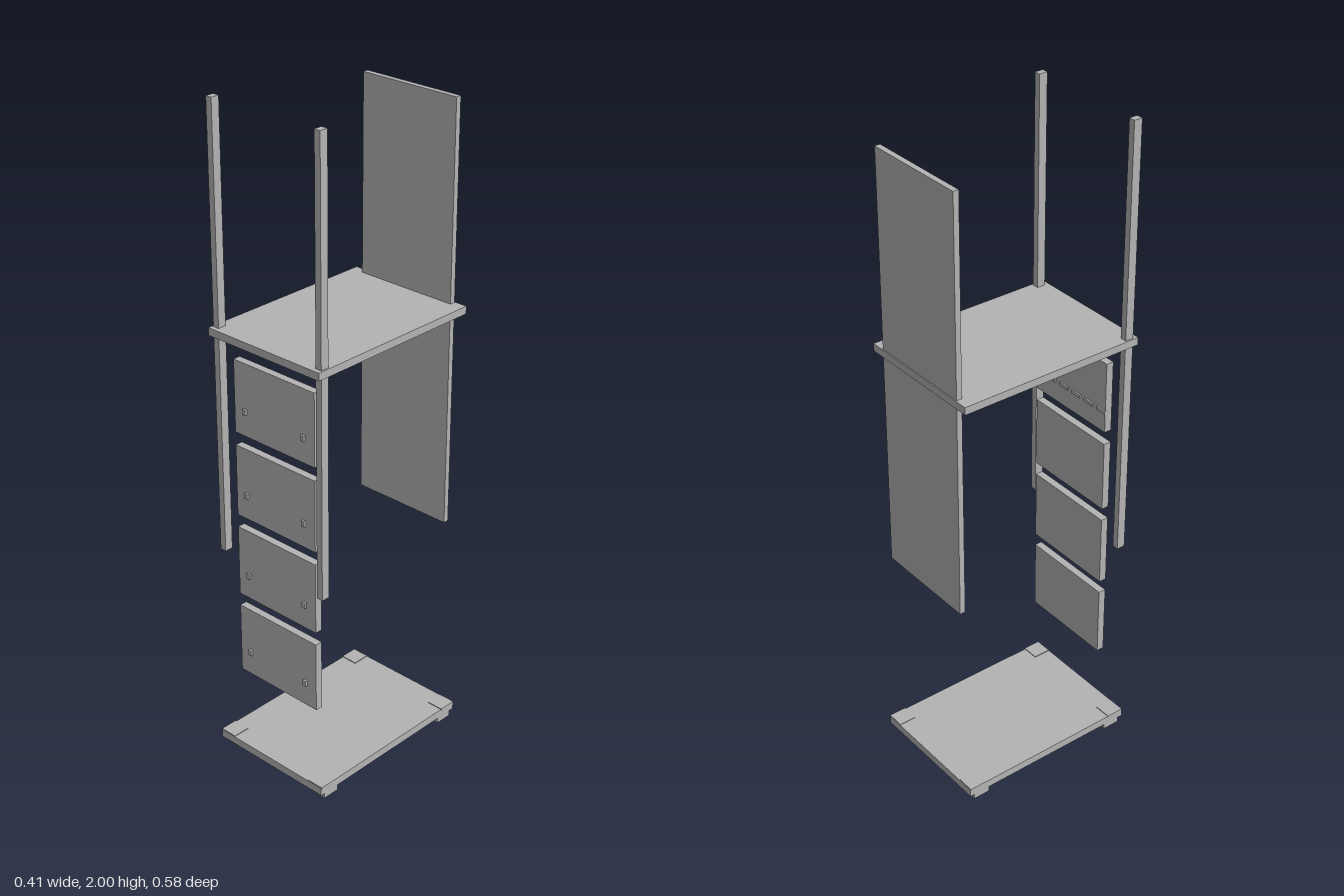
import * as THREE from 'three';

export function createModel() {
  const model = new THREE.Group();
  model.name = 'explodedCabinet';

  const grey = new THREE.MeshStandardMaterial({ color: 0xb3b3b3 });
  grey.name = 'plain grey';

  // Box given by its lower and upper limits on each axis
  const box = (name, [x0, x1], [y0, y1], [z0, z1], parent = model) => {
    const mesh = new THREE.Mesh(new THREE.BoxGeometry(x1 - x0, y1 - y0, z1 - z0), grey);
    mesh.position.set((x0 + x1) / 2, (y0 + y1) / 2, (z0 + z1) / 2);
    mesh.name = name;
    parent.add(mesh);
    return mesh;
  };
  // Limits mirrored to the negative side when s is -1
  const side = (s, a, b) => (s > 0 ? [a, b] : [-b, -a]);

  // Top and base boards
  box('topBoard', [-0.205, 0.205], [1.34, 1.363], [-0.291, 0.291]);
  box('baseBoard', [-0.205, 0.205], [0.018, 0.043], [-0.291, 0.291]);

  // Feet under the base, with thin corner pads on top of it
  for (const sx of [-1, 1]) {
    for (const sz of [-1, 1]) {
      box('foot', side(sx, 0.152, 0.204), [0, 0.018], side(sz, 0.222, 0.276));
      box('cornerPad', side(sx, 0.152, 0.2065), [0.04, 0.0455], side(sz, 0.235, 0.29));
    }
    // Front uprights
    box('frontPost', side(sx, 0.18, 0.2), [0.67, 2], [0.251, 0.277]);
  }

  // Tall back panel
  box('backPanel', [-0.165, 0.165], [0.67, 1.95], [-0.288, -0.271]);

  // Four drawer fronts, each with two small knobs
  for (let i = 0; i < 4; i++) {
    const drawer = new THREE.Group();
    drawer.name = 'drawerFront' + (i + 1);
    model.add(drawer);
    const y = 0.271 + i * 0.261;
    box('drawerPanel', [-0.151, 0.151], [y, y + 0.221], [0.23, 0.253], drawer);
    for (const s of [-1, 1]) {
      box('knob', side(s, 0.104, 0.116), [y + 0.067, y + 0.084], [0.253, 0.26], drawer);
    }
  }

  // Row of short bars behind the top drawer
  for (let i = 0; i < 6; i++) {
    const x = -0.153 + i * 0.054;
    box('rearBar', [x, x + 0.036], [1.116, 1.126], [0.225, 0.232]);
  }
  return model;
}
